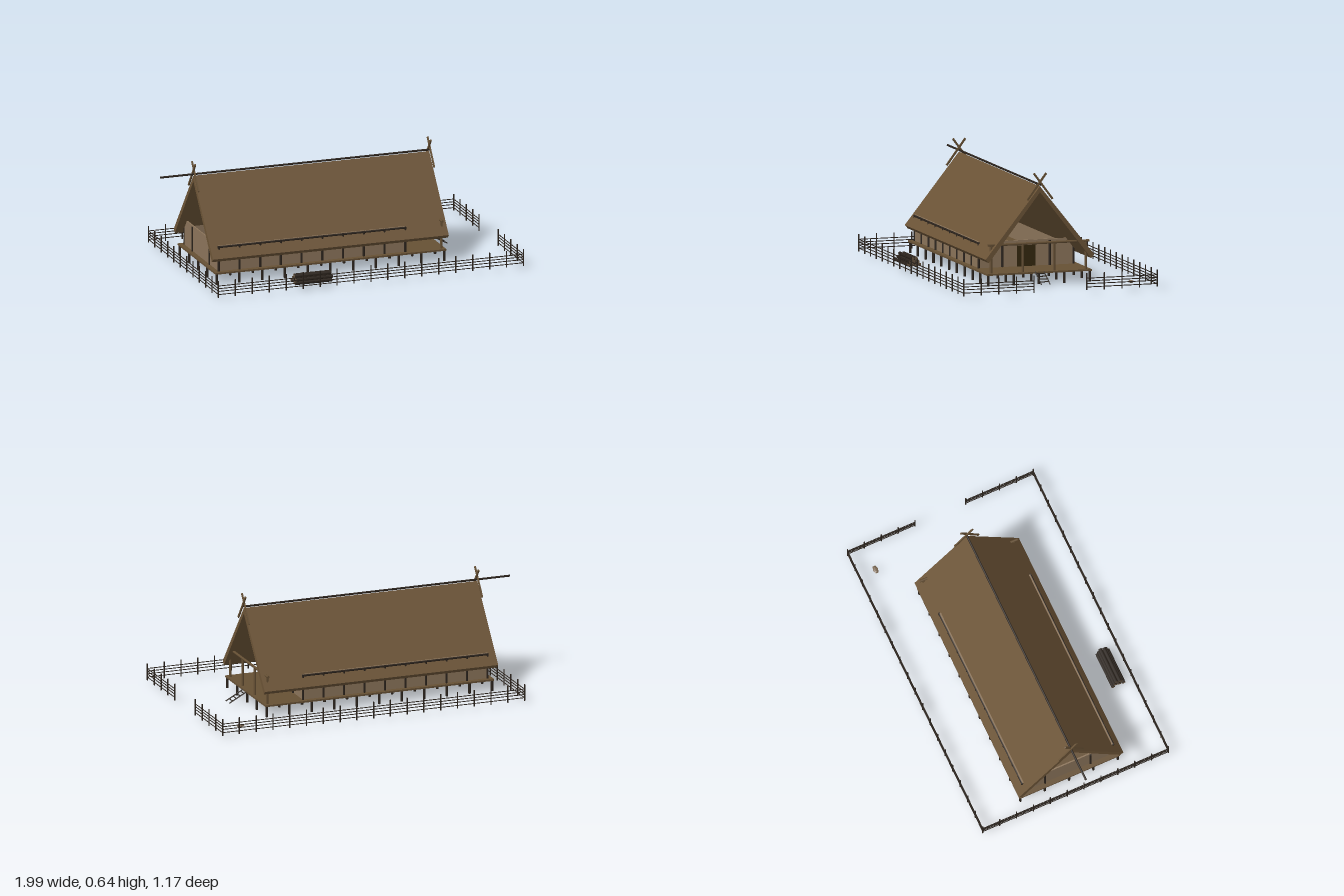
import * as THREE from 'three';

const mat = (name, color) => {
  const m = new THREE.MeshStandardMaterial({ color });
  m.name = name;
  return m;
};

export function createModel() {
  const root = new THREE.Group();
  root.name = 'longhouse';

  const thatch = mat('thatch', 0x6b5336);
  const timber = mat('timber', 0x665034);
  const darkWood = mat('dark wood', 0x2b231c);
  const daub = mat('daub wall', 0x8b745a);
  const doorWood = mat('door wood', 0x33270f);
  const cutWood = mat('cut wood', 0x65523d);
  const stoneMat = mat('stone', 0x7d6a55);

  const group = (name) => {
    const g = new THREE.Group();
    g.name = name;
    root.add(g);
    return g;
  };
  const add = (parent, name, geometry, material) => {
    const m = new THREE.Mesh(geometry, material);
    m.name = name;
    parent.add(m);
    return m;
  };
  const box = (parent, name, material, w, h, d, x, y, z) => {
    const m = add(parent, name, new THREE.BoxGeometry(w, h, d), material);
    m.position.set(x, y, z);
    return m;
  };
  // round pole between two points
  const pole = (parent, name, material, a, b, r, sides = 7) => {
    const p = new THREE.Vector3(...a), q = new THREE.Vector3(...b);
    const dir = q.clone().sub(p);
    const m = add(parent, name, new THREE.CylinderGeometry(r, r, dir.length(), sides), material);
    m.position.copy(p).add(q).multiplyScalar(0.5);
    m.quaternion.setFromUnitVectors(new THREE.Vector3(0, 1, 0), dir.normalize());
    return m;
  };

  // raised floor on rows of stilts
  const base = group('platform');
  box(base, 'floor', timber, 1.4, 0.01, 0.63, -0.08, 0.067, 0);
  for (let i = 0; i < 11; i++) {
    for (let j = -2; j <= 2; j++) {
      const x = -0.77 + i * 0.138, z = j * 0.1525;
      pole(base, 'stilt', darkWood, [x, 0, z], [x, 0.063, z], 0.0075);
    }
  }

  // low walls with posts and a top rail
  const house = group('walls');
  for (const s of [-1, 1]) {
    box(house, 'sideWall', daub, 1.13, 0.15, 0.008, -0.185, 0.147, s * 0.28);
    pole(house, 'wallPlate', darkWood, [-0.755, 0.215, s * 0.285], [0.385, 0.215, s * 0.285], 0.006);
    for (let i = 0; i < 10; i++) {
      const x = -0.75 + i * 0.1256;
      pole(house, 'wallPost', darkWood, [x, 0.072, s * 0.285], [x, 0.22, s * 0.285], 0.007);
    }
    for (const x of [-0.753, 0.383]) {
      pole(house, 'endPost', darkWood, [x, 0.072, s * 0.1425], [x, 0.215, s * 0.1425], 0.007);
    }
  }
  for (const x of [-0.748, 0.378]) {
    box(house, 'endWall', daub, 0.008, 0.15, 0.56, x, 0.147, 0);
  }
  box(house, 'door', doorWood, 0.008, 0.12, 0.11, 0.384, 0.132, 0);

  // open porch frame
  const porch = group('porch');
  for (const z of [-0.285, -0.095, 0.095, 0.285]) {
    pole(porch, 'porchPost', timber, [0.6, 0.072, z], [0.6, 0.23, z], 0.0075);
  }
  pole(porch, 'tieBeam', timber, [0.6, 0.235, -0.305], [0.6, 0.235, 0.305], 0.0075);

  // steep roof, a folded slab extruded along the house
  const roofShape = new THREE.Shape([
    [0, 0.565], [-0.327, 0.157], [-0.308, 0.137], [0, 0.531], [0.308, 0.137], [0.327, 0.157],
  ].map(([x, y]) => new THREE.Vector2(x, y)));
  const roofGeo = new THREE.ExtrudeGeometry(roofShape, { depth: 1.43, bevelEnabled: false });
  roofGeo.rotateY(Math.PI / 2).translate(-0.8, 0, 0);
  const roof = group('roof');
  add(roof, 'thatchRoof', roofGeo, thatch);
  pole(roof, 'ridgePole', darkWood, [-1, 0.574, 0], [0.632, 0.574, 0], 0.006);

  // crossed boards at both gables
  for (const x of [-0.798, 0.63]) {
    for (const s of [-1, 1]) {
      const board = box(roof, 'crossedBoard', timber, 0.008, 0.188, 0.011, x + s * 0.003, 0.565, s * 0.02);
      board.rotation.x = -s * Math.atan2(0.112, 0.15);
    }
  }

  // ladder up to the porch
  const ladder = group('ladder');
  const foot = [0.73, 0.015], head = [0.625, 0.072];
  for (const z of [-0.026, 0.026]) {
    pole(ladder, 'ladderRail', darkWood, [...foot, z], [...head, z], 0.0035, 6);
  }
  for (const t of [0.2, 0.42, 0.64, 0.86]) {
    const x = foot[0] + (head[0] - foot[0]) * t, y = foot[1] + (head[1] - foot[1]) * t;
    pole(ladder, 'rung', darkWood, [x, y, -0.03], [x, y, 0.03], 0.003, 6);
  }

  // fence with a gateway on the porch side
  const fence = group('fence');
  const run = (x0, z0, x1, z1, n) => {
    for (let i = 0; i <= n; i++) {
      const x = x0 + (x1 - x0) * i / n, z = z0 + (z1 - z0) * i / n;
      pole(fence, 'fencePost', darkWood, [x, 0.01, z], [x, 0.108, z], 0.004, 6);
    }
    for (const y of [0.028, 0.047, 0.063, 0.079]) {
      pole(fence, 'fenceRail', darkWood, [x0, y, z0], [x1, y, z1], 0.0027, 5);
    }
  };
  run(-0.86, 0.582, 0.99, 0.582, 18);
  run(-0.86, -0.582, 0.99, -0.582, 18);
  run(-0.86, -0.582, -0.86, 0.582, 11);
  run(0.99, 0.582, 0.99, 0.159, 4);
  run(0.99, -0.582, 0.99, -0.159, 4);

  // stacked firewood, three rows
  const pile = group('logPile');
  for (let row = 0; row < 3; row++) {
    for (let i = 0; i < 4 - row; i++) {
      const z = 0.459 + row * 0.011 + i * 0.022, y = 0.028 + row * 0.018;
      const shift = ((i * 2 + row) % 3 - 1) * 0.004;
      const log = pole(pile, 'log', darkWood, [-0.37 + shift, y, z], [-0.148 + shift, y, z], 0.0105, 8);
      log.material = [darkWood, cutWood, cutWood];
    }
  }

  // flat stone in the yard
  const stoneGeo = new THREE.IcosahedronGeometry(0.027, 0).scale(1, 0.35, 0.65);
  stoneGeo.computeVertexNormals();
  add(root, 'stone', stoneGeo, stoneMat).position.set(0.84, 0.024, -0.475);

  return root;
}
